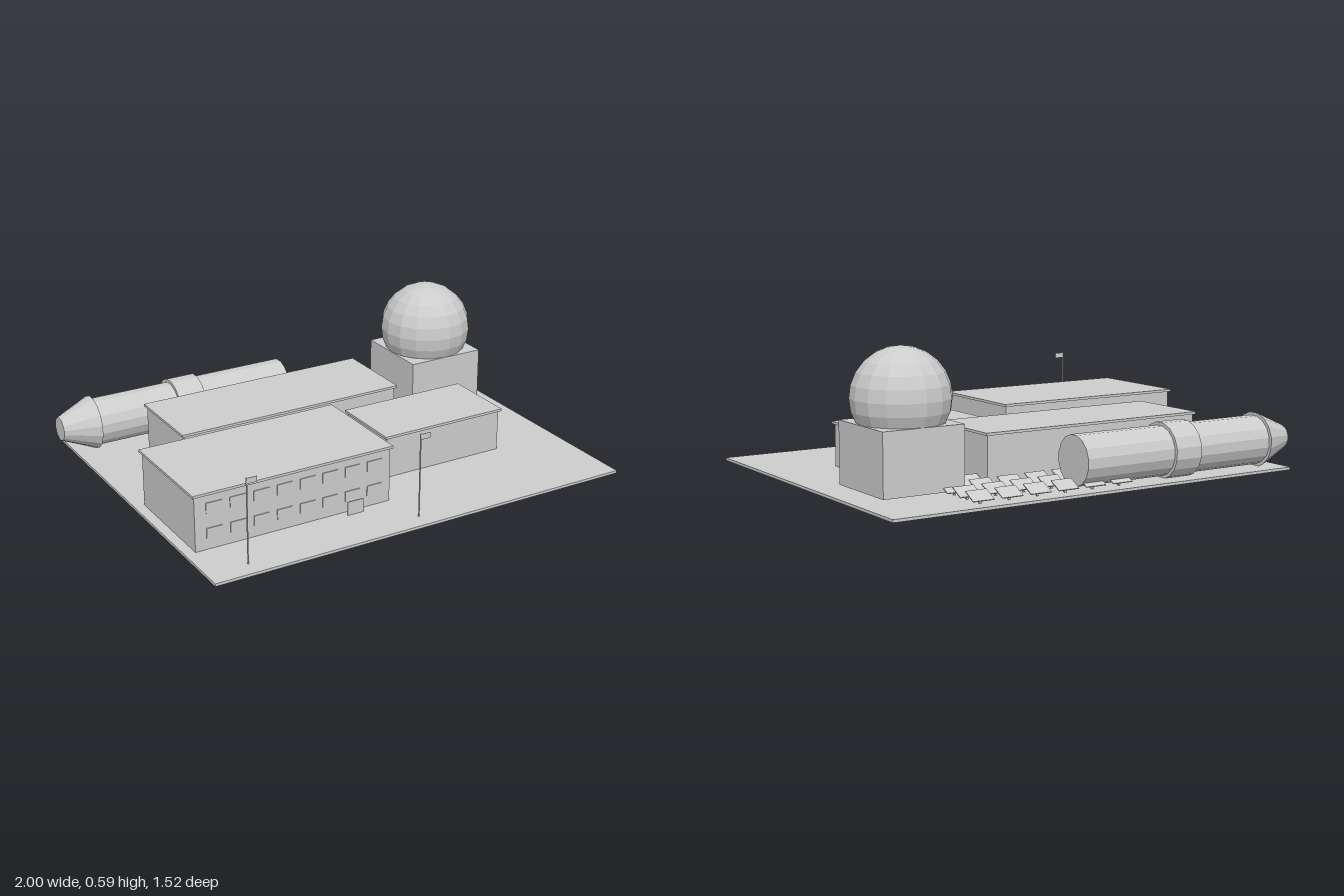
import * as THREE from 'three';

const grey = new THREE.MeshStandardMaterial({ color: 0xcccccc, flatShading: true });
grey.name = 'pale grey';

export function createModel() {
  const model = new THREE.Group();
  model.name = 'baseCompound';

  const add = (name, geometry, parent = model) => {
    const mesh = new THREE.Mesh(geometry, grey);
    mesh.name = name;
    parent.add(mesh);
    return mesh;
  };
  // Box given by its extents on each axis
  const box = (name, x0, x1, y0, y1, z0, z1, parent) => {
    const mesh = add(name, new THREE.BoxGeometry(x1 - x0, y1 - y0, z1 - z0), parent);
    mesh.position.set((x0 + x1) / 2, (y0 + y1) / 2, (z0 + z1) / 2);
    return mesh;
  };

  box('groundSlab', -0.945, 0.995, 0, 0.012, -0.765, 0.76);

  // Flat-roofed buildings, each with a slightly overhanging roof slab
  const building = (name, x0, x1, z0, z1, top) => {
    const group = new THREE.Group();
    group.name = name;
    const o = 0.01;
    box('walls', x0 + o, x1 - o, 0.01, top - 0.011, z0 + o, z1 - o, group);
    box('roof', x0, x1, top - 0.011, top, z0, z1, group);
    model.add(group);
    return group;
  };
  const mainHall = building('mainHall', -0.91, 0.005, 0.014, 0.511, 0.262);
  const rearHall = building('rearHall', -0.67, 0.4, -0.46, -0.073, 0.236);
  building('sideHall', 0.09, 0.69, -0.012, 0.324, 0.207);
  box('connector', -0.135, 0.18, 0.001, 0.152, -0.055, 0.155);

  // Thin window plates on the front walls
  for (let i = 0; i < 8; i++) {
    const x = -0.85 + i * 0.105;
    for (const y of [0.06, 0.17]) box('window', x, x + 0.07, y, y + 0.045, 0.499, 0.505, mainHall);
    box('window', -0.6 + i * 0.12, -0.53 + i * 0.12, 0.09, 0.145, -0.085, -0.079, rearHall);
  }

  // Domed tower
  box('domeBase', 0.525, 0.89, 0.027, 0.29, -0.5, -0.135);
  add('dome', new THREE.SphereGeometry(0.206, 16, 12)).position.set(0.707, 0.388, -0.317);

  // Horizontal tank with a collar and a tapered nose, lying along x
  const tank = new THREE.Group();
  tank.name = 'tank';
  tank.position.set(0, 0.123, -0.635);
  const drum = (name, x0, x1, r0, r1) => {
    const g = new THREE.CylinderGeometry(r1, r0, x1 - x0, 16);
    g.rotateY(Math.PI / 16).rotateZ(-Math.PI / 2);
    add(name, g, tank).position.x = (x0 + x1) / 2;
  };
  drum('tankBody', -0.87, 0.1, 0.106, 0.106);
  drum('tankCollar', -0.465, -0.335, 0.12, 0.12);
  drum('tankNose', -1, -0.845, 0.053, 0.12);
  model.add(tank);

  // Field of tilted panels on short posts
  const panels = new THREE.Group();
  panels.name = 'panelField';
  for (const z of [-0.69, -0.595, -0.5, -0.405]) {
    for (let col = 0; col < 6; col++) {
      const x = -0.085 + col * 0.132;
      const panel = add('panel', new THREE.BoxGeometry(0.096, 0.004, 0.066), panels);
      panel.position.set(x, 0.043, z);
      panel.rotation.x = -0.5;
      box('panelPost', x - 0.004, x + 0.004, 0, 0.042, z - 0.004, z + 0.004, panels);
    }
  }
  model.add(panels);

  // Flagpoles and entrance sign
  for (const x of [-0.765, 0.022]) {
    const pole = add('flagpole', new THREE.CylinderGeometry(0.003, 0.003, 0.37, 8));
    pole.position.set(x, 0.195, 0.685);
    box('flag', x, x + 0.045, 0.354, 0.378, 0.684, 0.686);
  }
  box('sign', -0.225, -0.15, 0.001, 0.072, 0.529, 0.534);

  return model;
}
